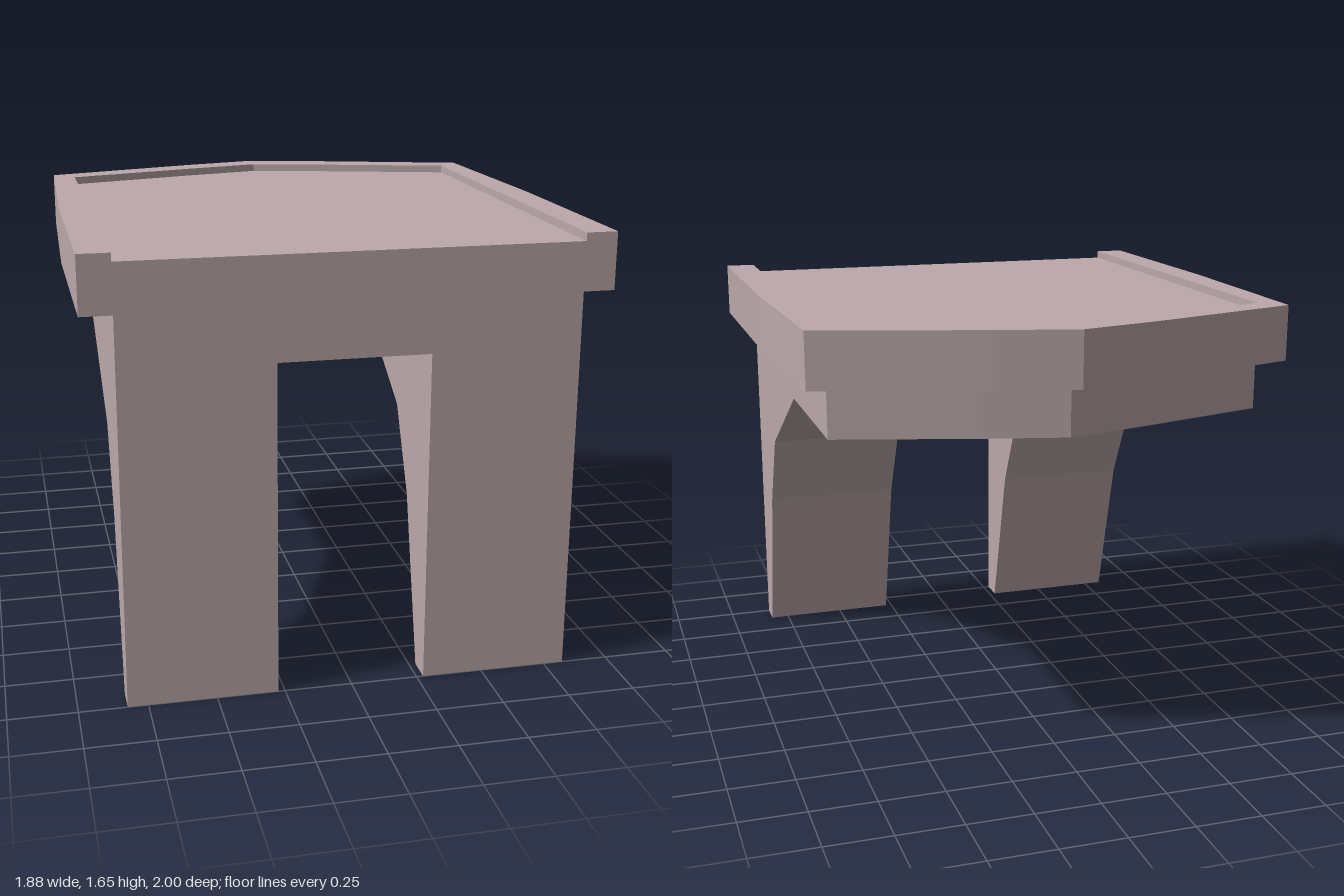
import * as THREE from 'three';

// Mirrors a right-hand outline (x, z), running front to back tip, into a full one.
function mirrored(half) {
  const left = half.filter(([x]) => x > 0).map(([x, z]) => [-x, z]).reverse();
  return [...half, ...left];
}

const toShape = (points) => new THREE.Shape(points.map(([a, b]) => new THREE.Vector2(a, b)));

export function createModel() {
  const model = new THREE.Group();
  const stone = new THREE.MeshStandardMaterial({ color: 0xbba8aa });
  stone.name = 'pinkish grey stone';

  function add(name, geometry) {
    const mesh = new THREE.Mesh(geometry, stone);
    mesh.name = name;
    model.add(mesh);
  }

  // Horizontal plate with an (x, z) outline between two heights
  function plate(name, outline, bottom, top) {
    const geometry = new THREE.ExtrudeGeometry(toShape(outline.map(([x, z]) => [x, -z])), {
      depth: top - bottom, bevelEnabled: false,
    });
    geometry.rotateX(-Math.PI / 2).translate(0, bottom, 0);
    add(name, geometry);
  }

  const outer = mirrored([[0.94, 1], [0.94, 0.12], [0.91, -0.74], [0.3, -0.925], [0, -1]]);
  const inner = mirrored([[0.825, 1], [0.825, -0.66], [0.3, -0.81], [0, -0.885]]);

  plate('lowerPlatform', inner, 1.245, 1.44);
  plate('upperPlatform', outer, 1.44, 1.62);
  // Raised lip around three sides, open at the front
  plate('rim', [...outer, ...[...inner].reverse()], 1.62, 1.65);

  // Curved bracket legs, flush with the front face
  const profile = [[1, 0], [1, 1.245], [0.03, 1.245], [0.58, 0.935], [0.735, 0.63], [0.9, 0]];
  const width = 0.55;
  for (const [name, centre] of [['leftLeg', 0.55], ['rightLeg', -0.55]]) {
    const geometry = new THREE.ExtrudeGeometry(toShape(profile), { depth: width, bevelEnabled: false });
    geometry.rotateY(-Math.PI / 2).translate(centre + width / 2, 0, 0);
    add(name, geometry);
  }

  return model;
}
